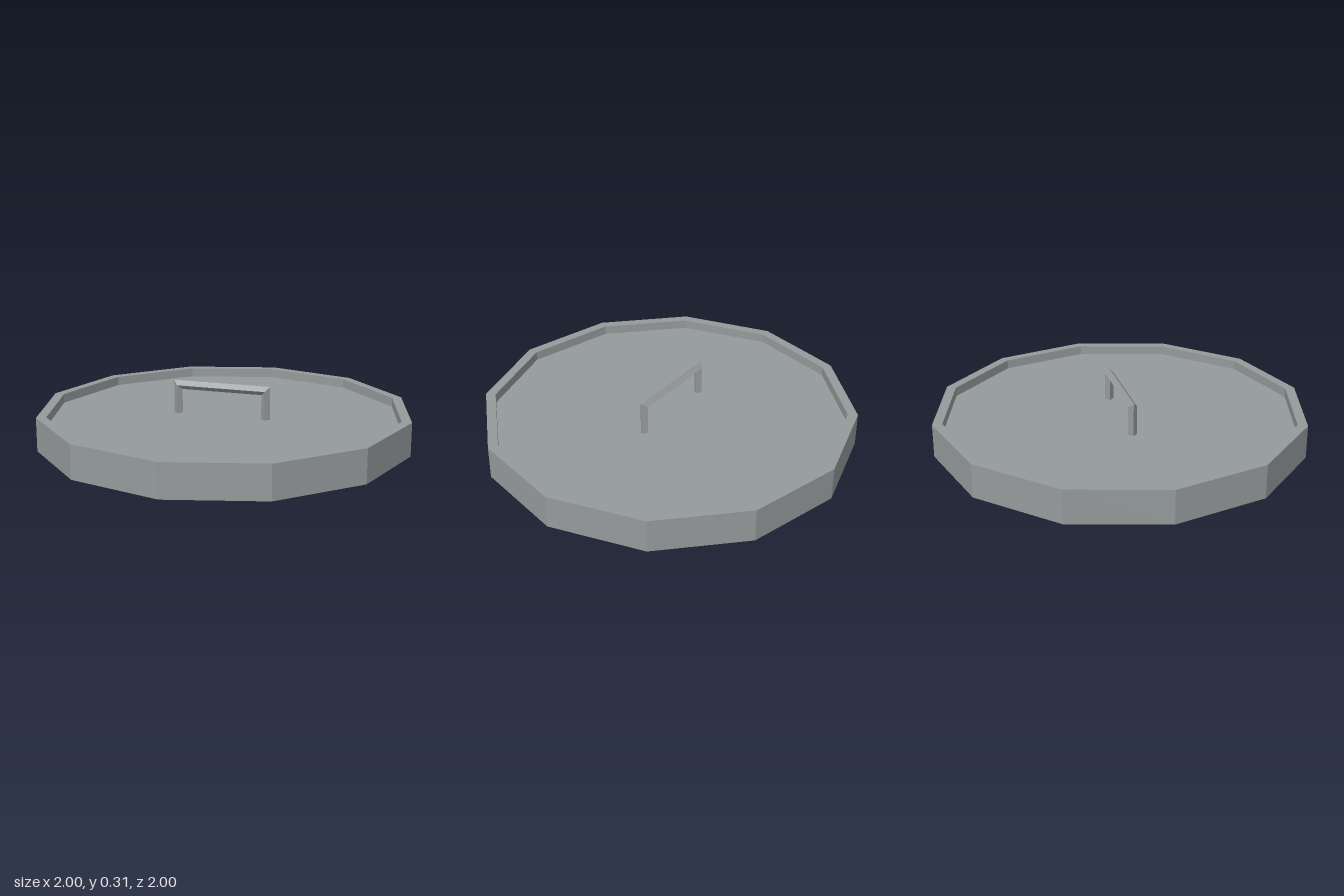
import * as THREE from 'three';

// Square bar standing on its edge, bent into a bracket with mitred corners
function bracketGeometry(halfSpan, bottom, top, r) {
  // path points: x, y, then the outward mitre direction
  const path = [
    [-halfSpan, bottom, -1, 0],
    [-halfSpan, top, -1, 1],
    [halfSpan, top, 1, 1],
    [halfSpan, bottom, 1, 0],
  ];
  // section corners: outward amount, z amount
  const section = [[1, 0], [0, 1], [-1, 0], [0, -1]];
  const positions = [];
  const index = [];
  for (const [x, y, dx, dy] of path) {
    for (const [o, z] of section) positions.push(x + dx * o * r, y + dy * o * r, z * r);
  }
  for (let i = 0; i < path.length - 1; i++) {
    for (let j = 0; j < 4; j++) {
      const a = i * 4 + j;
      const b = i * 4 + (j + 1) % 4;
      index.push(a, b, a + 4, b, b + 4, a + 4);
    }
  }
  const geometry = new THREE.BufferGeometry();
  geometry.setAttribute('position', new THREE.Float32BufferAttribute(positions, 3));
  geometry.setIndex(index);
  const flat = geometry.toNonIndexed();
  flat.computeVertexNormals();
  return flat;
}

export function createModel() {
  const model = new THREE.Group();
  model.name = 'lid';
  const metal = new THREE.MeshStandardMaterial({ color: 0x959a9b });
  metal.name = 'grey metal';
  metal.flatShading = true;
  metal.side = THREE.DoubleSide;

  // Twelve-sided disc with a raised rim around a sunken top
  const profile = [[0, 0], [1, 0], [1, 0.18], [0.947, 0.18], [0.947, 0.13], [0, 0.13]]
    .map(([x, y]) => new THREE.Vector2(x, y));
  const disc = new THREE.Mesh(new THREE.LatheGeometry(profile, 12), metal);
  disc.name = 'rimmedDisc';
  model.add(disc);

  // Lifting handle, set slightly off centre
  const handle = new THREE.Mesh(bracketGeometry(0.245, 0.125, 0.286, 0.024), metal);
  handle.name = 'handle';
  handle.position.set(-0.02, 0, -0.004);
  model.add(handle);

  return model;
}
